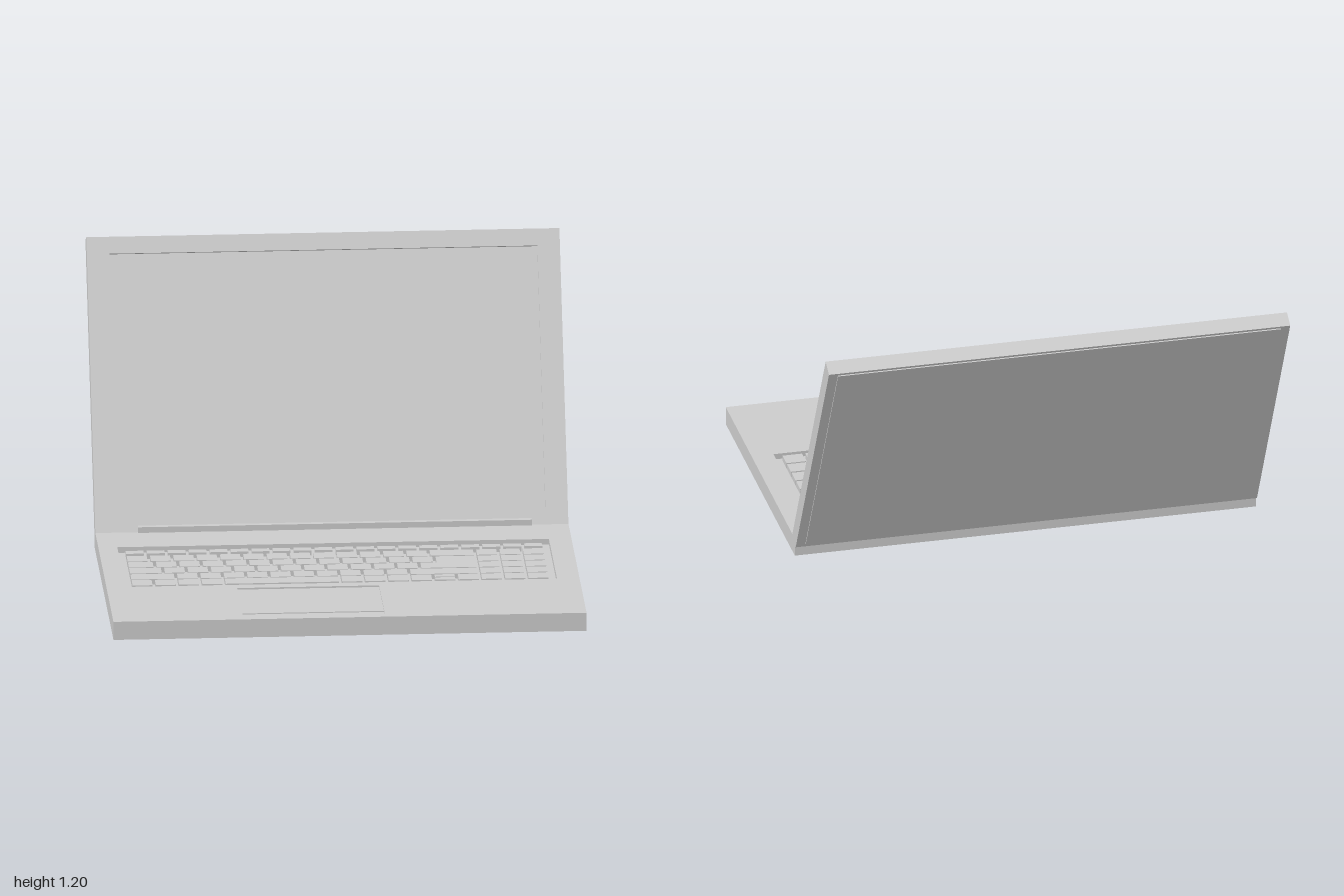
import * as THREE from 'three';
import { mergeGeometries } from 'three/addons/utils/BufferGeometryUtils.js';

const material = new THREE.MeshStandardMaterial({ color: 0xcccccc });

function addMesh(parent, name, geometry) {
  const mesh = new THREE.Mesh(geometry, material);
  mesh.name = name;
  parent.add(mesh);
}

// Box given by its limits on each axis
function span(x0, x1, y0, y1, z0, z1) {
  return new THREE.BoxGeometry(x1 - x0, y1 - y0, z1 - z0)
    .translate((x0 + x1) / 2, (y0 + y1) / 2, (z0 + z1) / 2);
}

function rect(Type, x0, x1, y0, y1) {
  return new Type([[x0, y0], [x1, y0], [x1, y1], [x0, y1]].map(p => new THREE.Vector2(...p)));
}

// Plate with rectangular openings, extruded along +z
function plate(outer, holes, depth) {
  const shape = rect(THREE.Shape, ...outer);
  shape.holes = holes.map(h => rect(THREE.Path, ...h));
  return new THREE.ExtrudeGeometry(shape, { depth, bevelEnabled: false });
}

const ones = n => Array(n).fill(1);

function buildKeys() {
  const left = -0.895, unit = 0.0985, gap = 0.007, bottom = 0.05, top = 0.079;
  const keys = [];
  const key = (u, w, z0, z1) =>
    keys.push(span(left + u * unit + gap, left + (u + w) * unit - gap, bottom, top, z0, z1));

  // Narrow top row
  for (let i = 0; i < 20; i++) key(i * 0.9, 0.9, -0.02, 0.02);

  // Main rows: back and front limits, then key widths in units (0 marks the split arrow key)
  const rows = [
    [0.05, 0.125, [...ones(13), 2, 1, 1, 1]],
    [0.135, 0.208, [1.2, ...ones(12), 1.8, 1, 1, 1]],
    [0.217, 0.29, [1.5, ...ones(11), 2.5, 1, 1, 1]],
    [0.3, 0.373, [2, ...ones(10), 3, 1, 1, 1]],
    [0.382, 0.455, [...ones(4), 5, ...ones(4), 0, ...ones(4)]],
  ];
  for (const [z0, z1, widths] of rows) {
    let u = 0;
    for (const w of widths) {
      if (w) key(u, w, z0, z1);
      else {
        const mid = (z0 + z1) / 2;
        key(u, 1, z0, mid - 0.004);
        key(u, 1, mid + 0.004, z1);
      }
      u += w || 1;
    }
  }
  // Bridge joining the two halves of the enter key
  key(13.2, 1.8, 0.207, 0.218);
  return mergeGeometries(keys);
}

export function createModel() {
  const model = new THREE.Group();
  model.name = 'laptop';

  // Base: solid tray below a deck with openings for keyboard and touchpad
  const base = new THREE.Group();
  base.name = 'base';
  model.add(base);
  addMesh(base, 'baseTray', span(-1, 1, 0, 0.055, -0.315, 0.95));
  const deck = plate([-1, 1, -0.95, 0.315],
    [[-0.92, 0.905, -0.475, 0.07], [-0.45, 0.15, -0.905, -0.52]], 0.025);
  addMesh(base, 'deck', deck.rotateX(-Math.PI / 2).translate(0, 0.055, 0));
  addMesh(base, 'keyboard', buildKeys());
  addMesh(base, 'touchpad', span(-0.45, 0.15, 0.05, 0.073, 0.52, 0.848));
  addMesh(base, 'touchpadButton', span(-0.45, 0.15, 0.05, 0.071, 0.855, 0.905));
  addMesh(base, 'hingeBar', span(-0.82, 0.845, 0.07, 0.105, -0.3, -0.26));

  // Lid: built upright, then leaned back about its lower front edge
  const lid = new THREE.Group();
  lid.name = 'lid';
  lid.position.set(0, 0.08, -0.27);
  lid.rotation.x = -0.5005;
  model.add(lid);
  const height = 1.271, recess = 0.015;
  addMesh(lid, 'screenBezel',
    plate([-1, 1, 0, height], [[-0.905, 0.905, 0.06, 1.198]], recess).translate(0, 0, -recess));
  addMesh(lid, 'screenAndShell', span(-1, 1, 0, height, -0.069, -recess));
  addMesh(lid, 'backPanel', span(-0.96, 0.96, 0.015, height - 0.012, -0.074, -0.065));

  return model;
}
